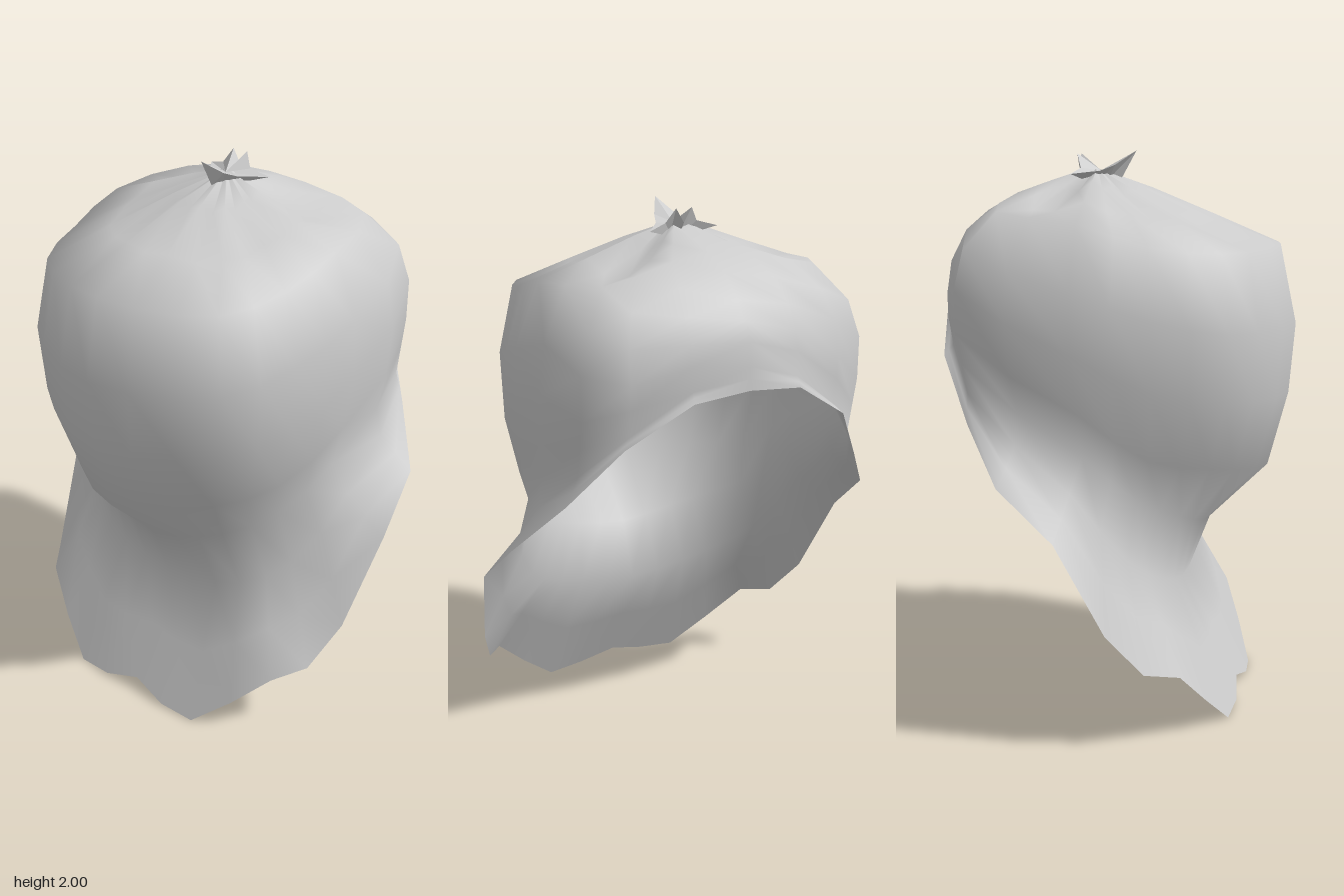
import * as THREE from 'three';

const V = (p) => new THREE.Vector3(...p);

// Meridians from crown to neck, ordered from the back round one side to the front
const meridians = [
  [[0, 1.87, -0.34], [0, 1.82, -0.44], [0, 1.75, -0.53], [0, 1.69, -0.58], [0, 1.63, -0.61], [0, 1.55, -0.62]],
  [[0.4, 1.8, -0.36], [0.49, 1.68, -0.45], [0.53, 1.55, -0.47], [0.53, 1.4, -0.47], [0.53, 1.3, -0.45], [0.53, 1.2, -0.43]],
  [[0.49, 1.77, -0.06], [0.58, 1.55, -0.06], [0.59, 1.35, -0.06], [0.57, 1.15, -0.04], [0.54, 1.0, -0.03], [0.59, 0.88, -0.06]],
  [[0.47, 1.7, 0.18], [0.53, 1.46, 0.2], [0.53, 1.22, 0.2], [0.47, 0.98, 0.18], [0.43, 0.83, 0.13], [0.48, 0.63, 0.11]],
  [[0.38, 1.67, 0.41], [0.42, 1.41, 0.44], [0.4, 1.17, 0.43], [0.33, 0.93, 0.37], [0.28, 0.74, 0.26], [0.32, 0.52, 0.21]],
  [[0, 1.68, 0.56], [0, 1.4, 0.62], [0, 1.15, 0.6], [0, 0.88, 0.53], [0, 0.67, 0.32], [0, 0.46, 0.24]],
];
const steps = [3, 2, 2, 2, 3];

// Wavy free edge of the brim, back to front
const rim = [
  [0, 1.47, -0.62], [0.2, 1.45, -0.61], [0.42, 1.31, -0.55], [0.57, 1.1, -0.42], [0.71, 0.92, -0.28],
  [0.74, 0.75, -0.08], [0.69, 0.43, 0.08], [0.63, 0.28, 0.2], [0.55, 0.25, 0.31], [0.42, 0.12, 0.38],
  [0.28, 0, 0.44], [0.14, 0.01, 0.45], [0, 0.05, 0.43],
];

// Top edge of the pinched knot, back to front
const knotEdge = [
  [0, 1.94, -0.17], [0.03, 1.99, -0.17], [0.06, 1.94, -0.15], [0.13, 1.92, -0.17],
  [0.06, 1.93, -0.08], [0.04, 1.95, -0.03], [0, 2, 0.04],
];

// Mirror a half ring across x = 0 to close it
function closeRing(half) {
  const other = half.slice(1, -1).reverse().map((p) => new THREE.Vector3(-p.x, p.y, p.z));
  return [...half, ...other];
}

// Smooth ring through one station of every meridian
function stationRing(k) {
  const points = closeRing(meridians.map((m) => V(m[k])));
  const curve = new THREE.CatmullRomCurve3(points, true);
  const half = [];
  steps.forEach((n, s) => {
    for (let i = 0; i < n; i++) half.push(curve.getPoint((s + i / n) / points.length));
  });
  half.push(points[meridians.length - 1].clone());
  return closeRing(half);
}

// Skin a stack of closed rings
function loft(rings) {
  const n = rings[0].length;
  const index = [];
  for (let j = 0; j < rings.length - 1; j++) {
    for (let i = 0; i < n; i++) {
      const a = j * n + i, b = j * n + (i + 1) % n;
      index.push(a, b, a + n, b, b + n, a + n);
    }
  }
  const geometry = new THREE.BufferGeometry().setFromPoints(rings.flat());
  geometry.setIndex(index);
  geometry.computeVertexNormals();
  return geometry;
}

export function createModel() {
  const group = new THREE.Group();
  group.name = 'gatheredHood';
  const cloth = new THREE.MeshStandardMaterial({ color: 0xcccccc, side: THREE.DoubleSide });
  cloth.name = 'pale grey cloth';

  // Hood: gathered crown with two rear folds, full body, flared brim
  const body = [0, 1, 2, 3, 4, 5].map(stationRing);
  const apex = new THREE.Vector3(0, 1.94, -0.1);
  const gather = (t, pleat, fold) => body[0].map((p, i) => {
    const q = apex.clone().lerp(p, t);
    const fromBack = Math.min(i, body[0].length - i);
    q.y += (i % 2 ? pleat : -pleat) - fold * Math.exp(-((fromBack - 3.3) ** 2));
    return q;
  });
  const edge = closeRing(rim.map(V));
  const flare = body[5].map((p, i) => p.clone().lerp(edge[i], 0.5));
  const rings = [gather(0.04, 0, 0), gather(0.3, 0.009, 0.04), gather(0.65, 0.006, 0.06), ...body, flare, edge];
  const hood = new THREE.Mesh(loft(rings), cloth);
  hood.name = 'hood';
  group.add(hood);

  // Knot: pinched, jagged tuft of cloth on the crown
  const top = closeRing(knotEdge.map(V));
  const base = top.map((p) => new THREE.Vector3(p.x * 0.5, 1.9, -0.1 + (p.z + 0.1) * 0.6));
  const centre = top.map(() => new THREE.Vector3(0, 1.93, -0.09));
  const knot = new THREE.Mesh(loft([base, top, centre]).toNonIndexed(), cloth);
  knot.geometry.computeVertexNormals();
  knot.name = 'knot';
  group.add(knot);

  return group;
}
